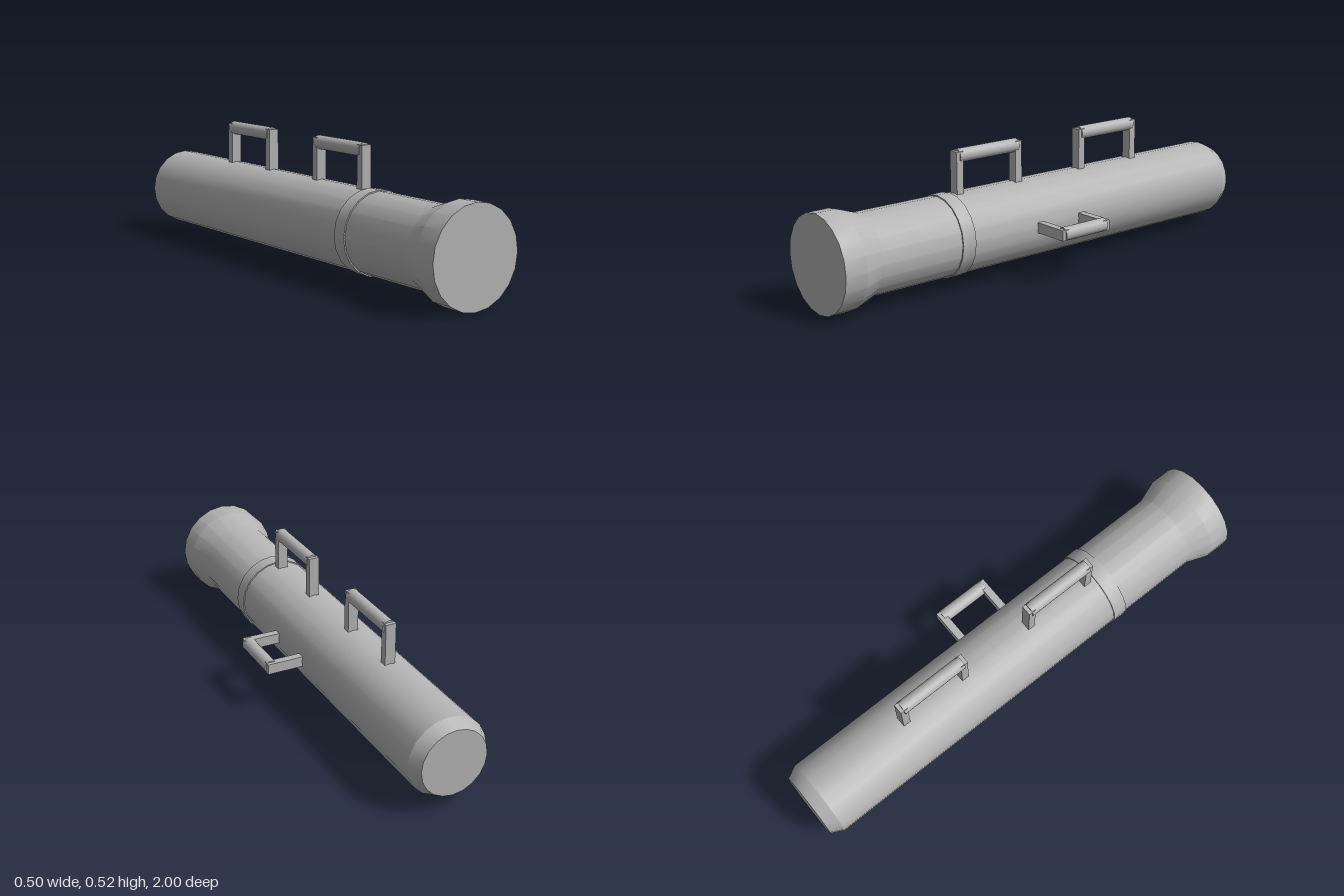
import * as THREE from 'three';
import { toCreasedNormals } from 'three/addons/utils/BufferGeometryUtils.js';

const AXIS_X = -0.06, AXIS_Y = 0.192, SIDES = 20;

export function createModel() {
  const model = new THREE.Group();
  model.name = 'launchTube';
  const grey = new THREE.MeshStandardMaterial({ color: 0xb4b4b4 });
  grey.name = 'grey';

  // Solid turned around the tube's axis; profile is [radius, z] from back to front
  function turned(name, profile) {
    const points = profile.map(([r, z]) => new THREE.Vector2(r, z));
    const geometry = new THREE.LatheGeometry(points, SIDES).rotateX(Math.PI / 2);
    const mesh = new THREE.Mesh(toCreasedNormals(geometry, 0.4), grey);
    mesh.name = name;
    mesh.position.set(AXIS_X, AXIS_Y, 0);
    model.add(mesh);
  }

  // Closed tube with a chamfered tail and a flared muzzle
  turned('tube', [
    [0, -1], [0.132, -1], [0.158, -0.95], [0.158, 0.82],
    [0.19, 0.91], [0.19, 1], [0, 1],
  ]);

  // Thin raised band
  turned('band', [[0.15, 0.411], [0.163, 0.411], [0.163, 0.471], [0.15, 0.471]]);

  // Two square posts and a round grip, standing up from the axis and turned by angle
  function handle(name, back, front, reach, angle) {
    const group = new THREE.Group();
    group.name = name;
    const base = 0.14, thick = 0.031;
    for (const z of [back + thick / 2, front - thick / 2]) {
      const post = new THREE.Mesh(new THREE.BoxGeometry(0.042, reach - base, thick), grey);
      post.name = 'post';
      post.position.set(0, (reach + base) / 2, z);
      group.add(post);
    }
    const grip = new THREE.Mesh(
      new THREE.CylinderGeometry(0.027, 0.027, front - back - 0.03, SIDES).rotateX(Math.PI / 2), grey);
    grip.name = 'grip';
    grip.position.set(0, reach - 0.019, (back + front) / 2);
    group.add(grip);
    group.position.set(AXIS_X, AXIS_Y, 0);
    group.rotation.z = angle;
    model.add(group);
  }

  handle('frontTopHandle', 0.074, 0.391, 0.32, 0);
  handle('rearTopHandle', -0.542, -0.226, 0.32, 0);
  handle('sideHandle', -0.137, 0.105, 0.302, -Math.PI / 2);

  return model;
}
